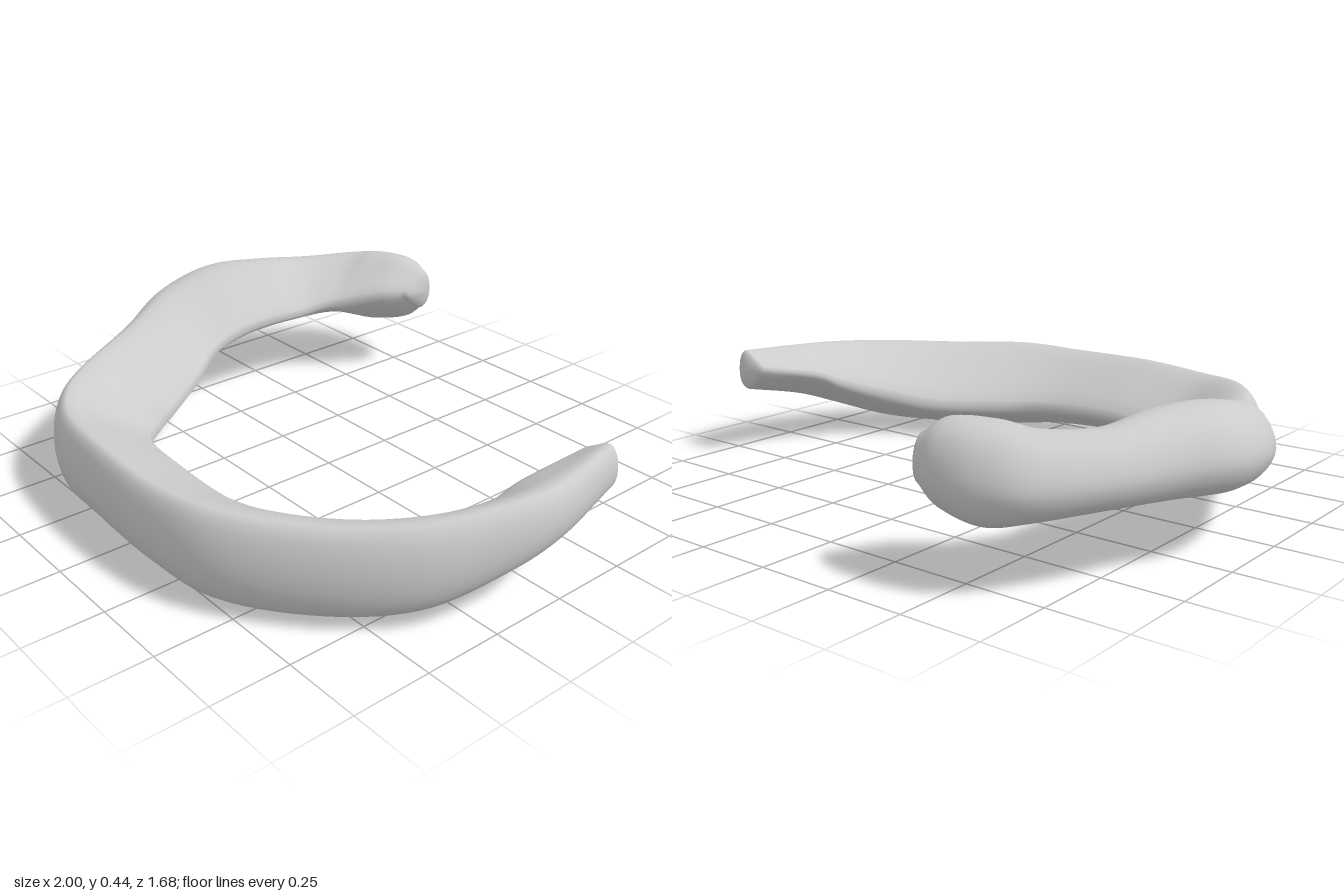
import * as THREE from 'three';

// Cross-sections along the arch, from the right tip round the front to the left tip:
// outer x, outer z, inner x, inner z, crest height, underside height, inner edge height
const SECTIONS = [
  [-0.39, -0.82, -0.37, -0.67, 0.40, 0.25, 0.33],
  [-0.46, -0.84, -0.41, -0.59, 0.44, 0.20, 0.33],
  [-0.59, -0.84, -0.50, -0.49, 0.44, 0.17, 0.30],
  [-0.72, -0.78, -0.54, -0.43, 0.42, 0.19, 0.29],
  [-0.84, -0.59, -0.57, -0.34, 0.41, 0.20, 0.27],
  [-0.92, -0.38, -0.58, -0.21, 0.43, 0.19, 0.27],
  [-1.00, -0.18, -0.58, -0.08, 0.43, 0.18, 0.26],
  [-0.96, 0.06, -0.56, 0.05, 0.39, 0.17, 0.23],
  [-0.82, 0.29, -0.48, 0.18, 0.34, 0.13, 0.19],
  [-0.66, 0.56, -0.41, 0.33, 0.31, 0.08, 0.14],
  [-0.53, 0.71, -0.38, 0.41, 0.30, 0.04, 0.11],
  [-0.36, 0.795, -0.31, 0.48, 0.29, 0.01, 0.11],
  [-0.10, 0.83, -0.10, 0.52, 0.30, 0.03, 0.13],
  [0.20, 0.835, 0.18, 0.51, 0.30, 0.025, 0.12],
  [0.45, 0.79, 0.36, 0.43, 0.31, 0.005, 0.11],
  [0.70, 0.62, 0.54, 0.29, 0.31, 0.01, 0.12],
  [0.88, 0.42, 0.67, 0.18, 0.325, 0.04, 0.16],
  [0.97, 0.20, 0.76, 0.06, 0.34, 0.11, 0.21],
  [1.00, 0.00, 0.785, -0.04, 0.35, 0.17, 0.26],
  [0.96, -0.255, 0.83, -0.255, 0.37, 0.23, 0.31],
];
const SIDES = 32;
const STEPS = 132;

// Rounded wedge: steep outer wall, domed crest, top falling to a thin inner edge.
// The crest moves inwards where the arch rises.
function sectionRing([ox, oz, ix, iz, top, bottom, inner]) {
  const h = top - bottom;
  const crest = 0.16 + Math.max(0, top - 0.31) * 2;
  const outline = [
    [0, bottom + h * 0.45],
    [crest * 0.35, top - h * 0.14],
    [crest, top],
    [(crest + 1) / 2, top - (top - inner) * 0.36],
    [1, inner],
    [0.65, bottom + (inner - bottom) * 0.3],
    [0.33, bottom],
    [0.08, bottom + h * 0.13],
  ];
  const points = outline.map(([u, y]) =>
    new THREE.Vector3(ox + (ix - ox) * u, y, oz + (iz - oz) * u));
  return new THREE.CatmullRomCurve3(points, true, 'centripetal').getPoints(SIDES).slice(0, SIDES);
}

// Shrinks an end ring about its centre and pushes it outwards, for a rounded tip
function tipRing(ring, scale, push) {
  const centre = ring.reduce((s, p) => s.add(p), new THREE.Vector3()).divideScalar(SIDES);
  const offset = push.clone().multiplyScalar(Math.sqrt(1 - scale * scale));
  return ring.map((p) => p.clone().sub(centre).multiplyScalar(scale).add(centre).add(offset));
}

// Smoothly loft the sections lengthwise
function archGeometry() {
  const keyRings = SECTIONS.map(sectionRing);
  const rails = Array.from({ length: SIDES }, (_, j) =>
    new THREE.CatmullRomCurve3(keyRings.map((r) => r[j]), false, 'catmullrom', 0.5));
  const rings = [];
  for (let i = 0; i <= STEPS; i++) rings.push(rails.map((c) => c.getPoint(i / STEPS)));

  // Rounded tips
  const first = rings[0];
  const last = rings[STEPS];
  const startPush = new THREE.Vector3(0.03, 0, 0.004);
  const endPush = new THREE.Vector3(-0.003, 0, -0.022);
  for (const s of [0.95, 0.8, 0.5, 0.001]) {
    rings.unshift(tipRing(first, s, startPush));
    rings.push(tipRing(last, s, endPush));
  }

  const positions = rings.flat().flatMap((p) => [p.x, p.y, p.z]);
  const index = [];
  for (let i = 0; i < rings.length - 1; i++) {
    for (let j = 0; j < SIDES; j++) {
      const a = i * SIDES + j;
      const b = i * SIDES + ((j + 1) % SIDES);
      index.push(a, a + SIDES, b, b, a + SIDES, b + SIDES);
    }
  }
  const geometry = new THREE.BufferGeometry();
  geometry.setAttribute('position', new THREE.Float32BufferAttribute(positions, 3));
  geometry.setIndex(index);
  geometry.computeVertexNormals();
  return geometry;
}

export function createModel() {
  const group = new THREE.Group();
  group.name = 'curvedArch';
  const arch = new THREE.Mesh(archGeometry(), new THREE.MeshStandardMaterial({ color: 0xcccccc }));
  arch.name = 'archBody';
  group.add(arch);
  return group;
}
